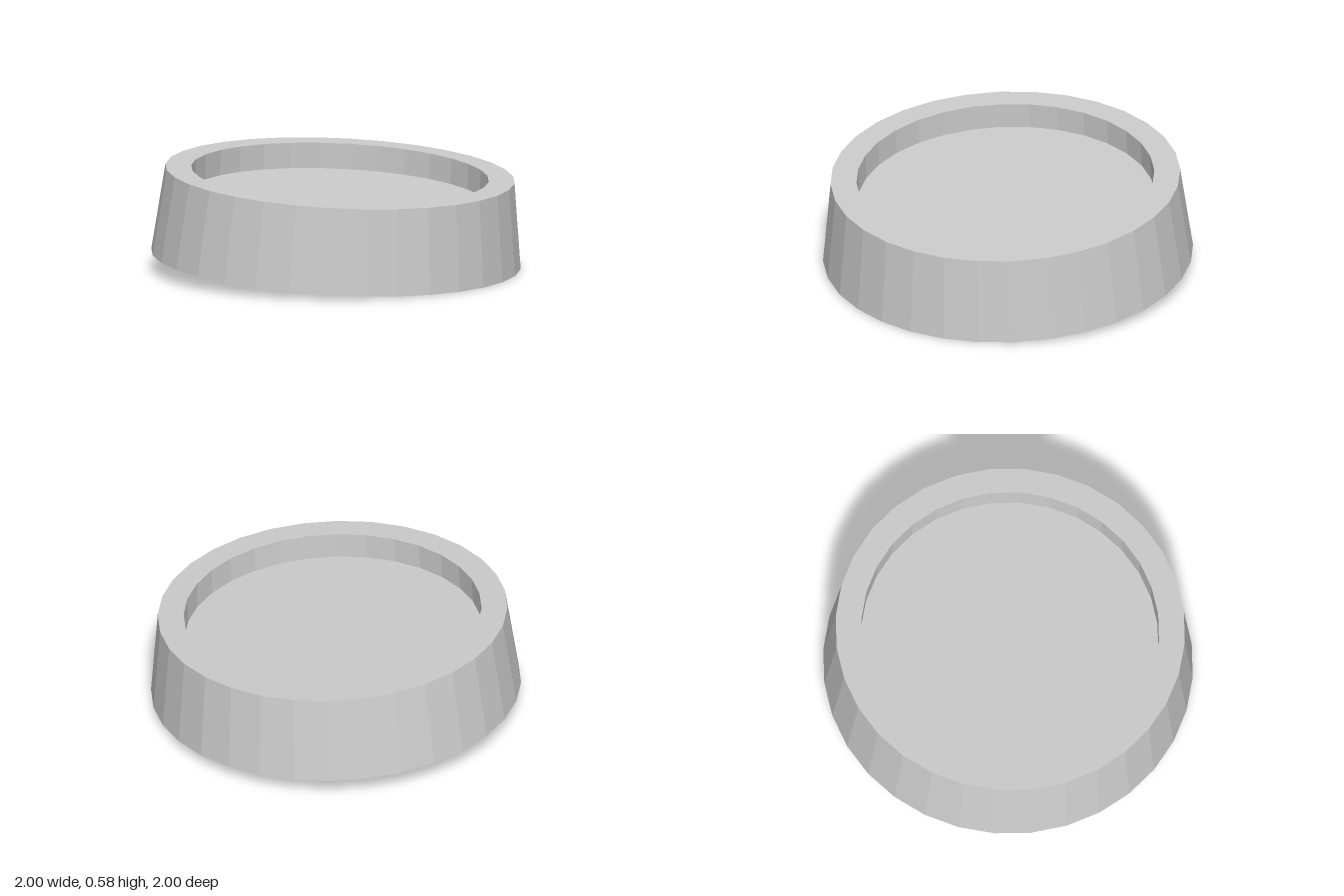
import * as THREE from 'three';

export function createModel() {
  const group = new THREE.Group();
  const material = new THREE.MeshStandardMaterial({ color: 0xcccccc, flatShading: true });

  // Tapered 32-sided body with a straight-walled recess, closed underneath
  const profile = [
    [0, 0], [1, 0], [0.945, 0.47], [0.805, 0.47], [0.805, 0.33], [0, 0.33],
  ].map(([r, y]) => new THREE.Vector2(r, y));
  const dish = new THREE.Mesh(new THREE.LatheGeometry(profile, 32), material);
  dish.name = 'recessedDish';

  // Lean towards the front, resting on the front edge
  const tilt = THREE.MathUtils.degToRad(3.3);
  dish.rotation.x = tilt;
  dish.position.y = Math.sin(tilt);
  group.add(dish);

  return group;
}
